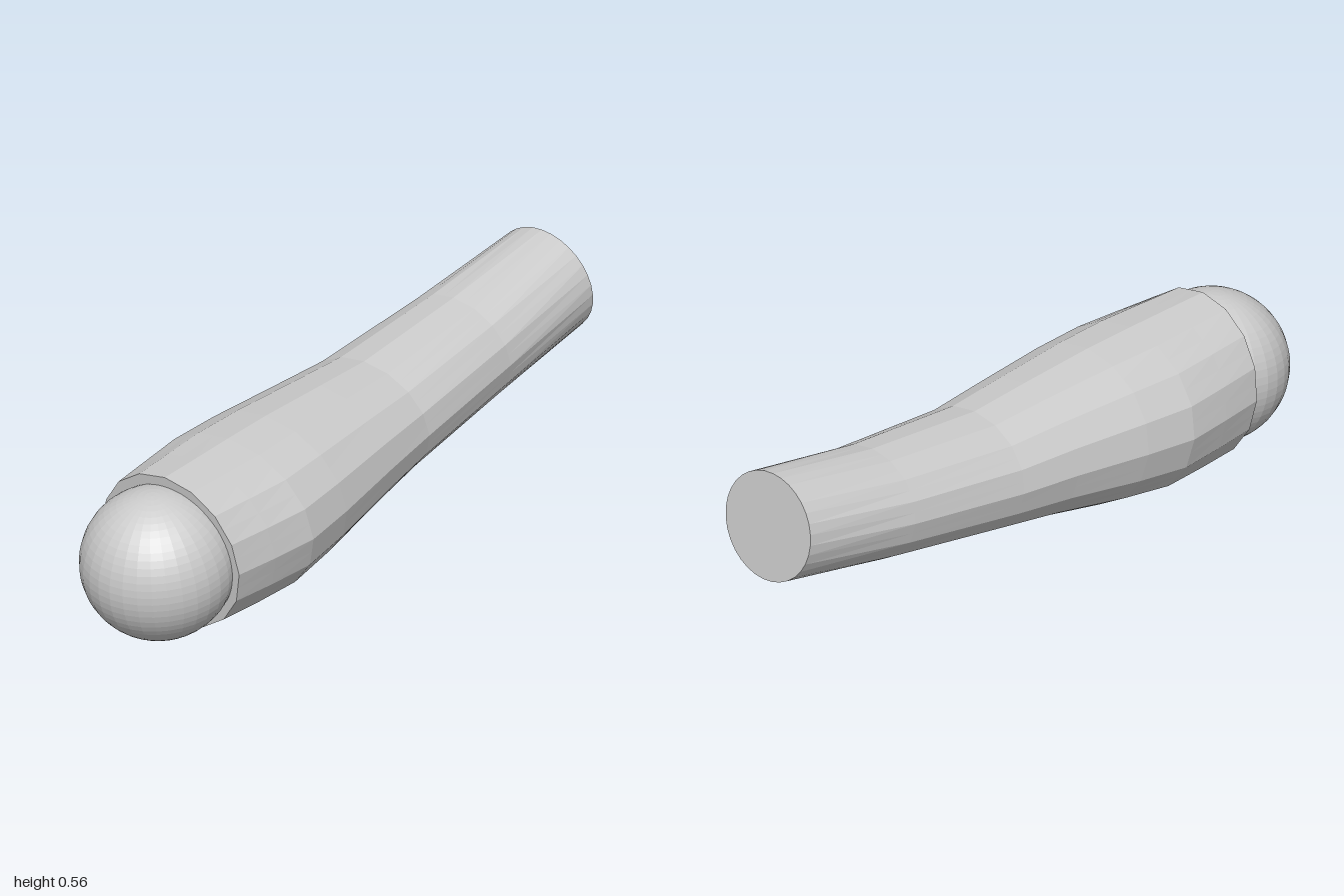
import * as THREE from 'three';

const SIDES = 32;
const TILT = 0.12; // lean of every cross-section

// Cross-sections from front to back: centre z, top y, bottom y, min x, max x
const SECTIONS = [
  [0.71, 0.487, 0.002, -0.24, 0.24],
  [0.57, 0.488, 0.003, -0.26, 0.26],
  [0.42, 0.489, 0.008, -0.28, 0.278],
  [0.25, 0.488, 0.035, -0.268, 0.264],
  [0.0, 0.477, 0.086, -0.24, 0.232],
  [-0.2, 0.467, 0.12, -0.222, 0.207],
  [-0.6, 0.502, 0.18, -0.19, 0.185],
  [-0.98, 0.563, 0.243, -0.15, 0.18],
];

// 16-sided loft that turns into a full 32-sided circle at the back end
function loftGeometry() {
  const pos = [], index = [];
  const last = SECTIONS.length - 1;
  SECTIONS.forEach(([z, top, bottom, x0, x1], s) => {
    const cx = (x0 + x1) / 2, cy = (top + bottom) / 2;
    for (let i = 0; i < SIDES; i++) {
      const a = (i / SIDES) * Math.PI * 2;
      const k = i % 2 && s < last ? Math.cos(Math.PI / 16) : 1;
      const dy = Math.cos(a) * k * (top - bottom) / 2;
      pos.push(cx + Math.sin(a) * k * (x1 - x0) / 2, cy + dy, z + TILT * dy);
    }
  });
  // Side walls
  for (let s = 0; s < last; s++) {
    for (let i = 0; i < SIDES; i++) {
      const j = (i + 1) % SIDES;
      const a = s * SIDES + i, b = s * SIDES + j;
      const c = a + SIDES, d = b + SIDES;
      index.push(a, b, c, b, d, c);
    }
  }
  // End caps
  for (const s of [0, last]) {
    const [z, top, bottom, x0, x1] = SECTIONS[s];
    const centre = pos.length / 3;
    pos.push((x0 + x1) / 2, (top + bottom) / 2, z);
    for (let i = 0; i < SIDES; i++) {
      const a = s * SIDES + i, b = s * SIDES + (i + 1) % SIDES;
      if (s === 0) index.push(centre, b, a);
      else index.push(centre, a, b);
    }
  }
  const geo = new THREE.BufferGeometry();
  geo.setAttribute('position', new THREE.Float32BufferAttribute(pos, 3));
  geo.setIndex(index);
  const flat = geo.toNonIndexed();
  flat.computeVertexNormals();
  return flat;
}

export function createModel() {
  const group = new THREE.Group();
  group.name = 'limbSegment';
  const material = new THREE.MeshStandardMaterial({ color: 0xcccccc, flatShading: true });

  // Tapered, bulging body
  const body = new THREE.Mesh(loftGeometry(), material);
  body.name = 'taperedBody';
  group.add(body);

  // Ball joint seated in the wide end
  const ball = new THREE.Mesh(new THREE.SphereGeometry(0.221, 32, 32), material);
  ball.name = 'ballJoint';
  ball.position.set(0.007, 0.239, 0.779);
  ball.rotation.x = TILT;
  group.add(ball);

  return group;
}
